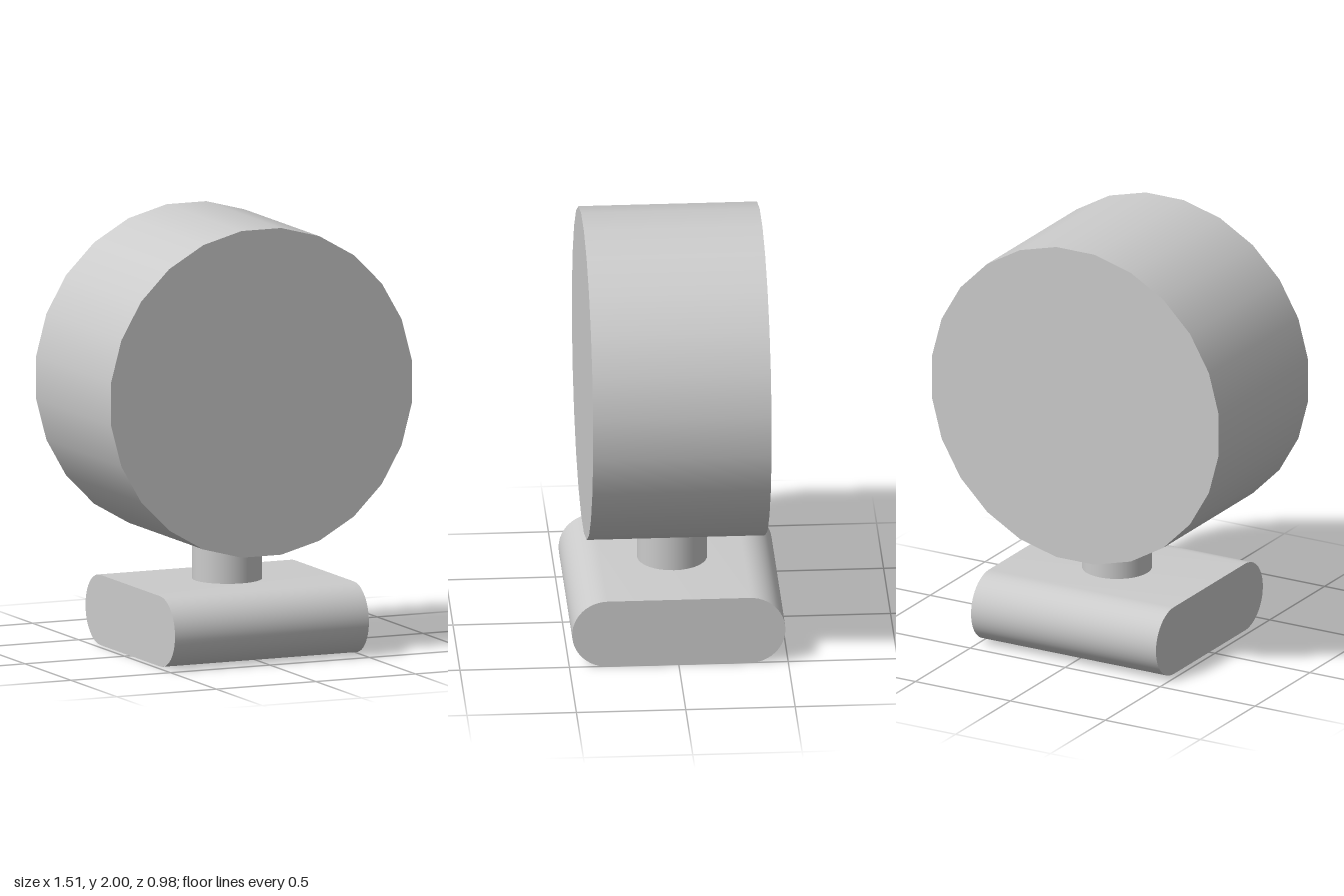
import * as THREE from 'three';
import { toCreasedNormals } from 'three/addons/utils/BufferGeometryUtils.js';

const OFFSET_X = 0.016; // base and neck sit slightly off the drum's axis

export function createModel() {
  const model = new THREE.Group();
  const material = new THREE.MeshStandardMaterial({ color: 0xcccccc });

  const addPart = (name, geometry, x, y) => {
    const mesh = new THREE.Mesh(geometry, material);
    mesh.name = name;
    mesh.position.set(x, y, 0);
    model.add(mesh);
  };

  // Drum: 24 sides lying along z, turned half a side so flats face up and down
  const drum = new THREE.CylinderGeometry(0.762, 0.762, 0.816, 24, 1, false, Math.PI / 24);
  drum.rotateX(Math.PI / 2);
  addPart('drum', drum, 0, 1.245);

  // Neck: short round post between base and drum
  addPart('neck', new THREE.CylinderGeometry(0.16, 0.16, 0.165, 32), OFFSET_X, 0.4075);

  // Base: slab with fully rounded front and back, extruded along x
  const radius = 0.1625, straight = 0.325, width = 0.974;
  const profile = new THREE.Shape();
  profile.absarc(straight, 0, radius, -Math.PI / 2, Math.PI / 2);
  profile.absarc(-straight, 0, radius, Math.PI / 2, Math.PI * 1.5);
  profile.closePath();
  const slab = new THREE.ExtrudeGeometry(profile, { depth: width, bevelEnabled: false, curveSegments: 12 });
  slab.translate(0, 0, -width / 2);
  slab.rotateY(Math.PI / 2);
  addPart('base', toCreasedNormals(slab, Math.PI / 5), OFFSET_X, radius);

  return model;
}
